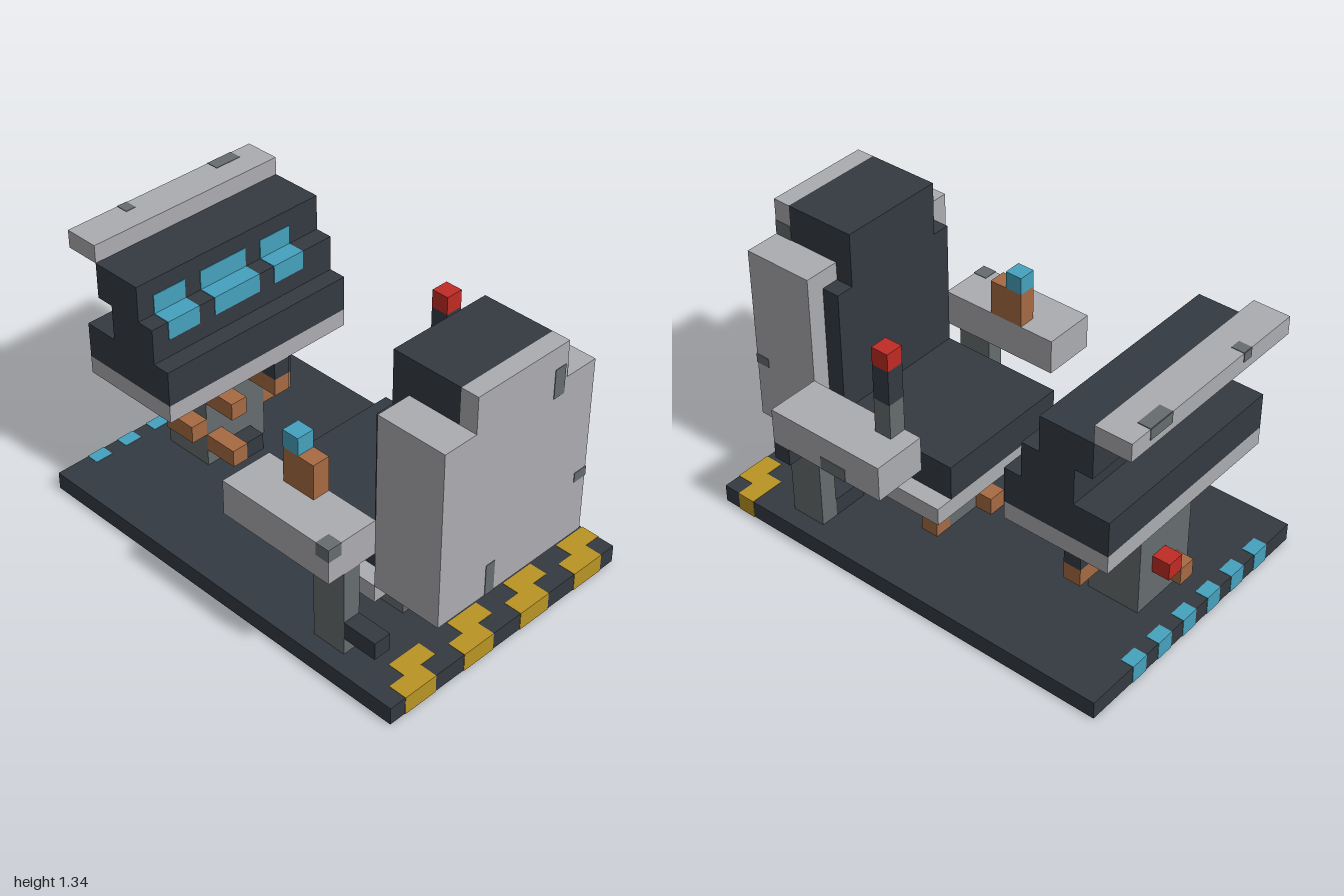
import * as THREE from 'three';

const U = 1 / 12; // one block
const mat = (name, color) => {
  const m = new THREE.MeshStandardMaterial({ color });
  m.name = name;
  return m;
};

export function createModel() {
  const root = new THREE.Group();
  root.name = 'controlStation';
  const light = mat('lightGrey', 0xabacb1), mid = mat('midGrey', 0x666c6e), dark = mat('darkSlate', 0x343a41);
  const yellow = mat('hazardYellow', 0xba9523), copper = mat('copper', 0xa76a43);
  const cyan = mat('screenCyan', 0x45a2be), red = mat('signalRed', 0xc02b24);

  const group = (name) => {
    const g = new THREE.Group();
    g.name = name;
    root.add(g);
    return g;
  };
  // Box from block ranges, optionally grown a little on every side
  const box = (g, name, m, x0, x1, y0, y1, z0, z1, grow = 0) => {
    const mesh = new THREE.Mesh(
      new THREE.BoxGeometry((x1 - x0) * U + grow * 2, (y1 - y0) * U + grow * 2, (z1 - z0) * U + grow * 2), m);
    mesh.position.set((x0 + x1) / 2 * U, (y0 + y1) / 2 * U, (z0 + z1) / 2 * U);
    mesh.name = name;
    g.add(mesh);
  };
  const E = 0.002;

  // Floor plate with stepped hazard stripes and rear lights
  const base = group('base');
  box(base, 'floorPlate', dark, -8, 8, 0, 1, -12, 12);
  for (const x of [-7, -3, 1, 5]) {
    box(base, 'hazardStripe', yellow, x, x + 2, 0, 1, 11, 12, E);
    box(base, 'hazardStripeStep', yellow, x + 1, x + 3, 0, 1, 10, 11, E);
  }
  for (const x of [-6, -4, -2, 0, 2, 4]) box(base, 'rearLight', cyan, x, x + 1, 0, 1, -12, -11.3, E);

  // Seat
  const seat = group('seat');
  box(seat, 'pedestal', mid, -3, 3, 1, 3, 1, 8);
  box(seat, 'seatFrame', light, -5, 5, 3, 4, 0, 8);
  box(seat, 'cushion', dark, -4, 4, 4, 6, 0, 8);
  box(seat, 'backShell', light, -5, 5, 4, 14, 8, 12);
  box(seat, 'headShell', light, -3, 3, 14, 16, 11, 12);
  box(seat, 'backPad', dark, -4, 4, 6, 13, 7, 8);
  box(seat, 'headPad', dark, -3, 3, 13, 14, 7, 8);
  box(seat, 'headRest', dark, -3, 3, 14, 16, 7, 11);

  // Armrests on posts
  for (const s of [-1, 1]) {
    const arm = group(s < 0 ? 'rightArmrest' : 'leftArmrest');
    const a = s < 0 ? -8 : 5;
    box(arm, 'armPad', light, a, a + 3, 6, 8, 1, 8);
    box(arm, 'armPost', mid, s < 0 ? -7 : 6, s < 0 ? -6 : 7, 1, 6, 6, 8);
  }

  // Levers
  const levers = group('levers');
  box(levers, 'leverShaft', mid, 5, 6, 8, 10, 2, 3);
  box(levers, 'leverGrip', dark, 5, 6, 10, 12, 2, 3);
  box(levers, 'leverKnob', red, 5, 6, 12, 13, 2, 3);
  box(levers, 'throttle', copper, -6, -5, 8, 10, 3, 5);
  box(levers, 'throttleButton', cyan, -6, -5, 10, 11, 3, 4);

  // Console with stepped profile
  const con = group('console');
  box(con, 'consolePost', mid, -2, 2, 1, 7, -10, -7);
  box(con, 'consoleTray', light, -6, 6, 7, 8, -11, -5);
  box(con, 'consoleDesk', dark, -6, 6, 8, 10, -11, -5);
  box(con, 'consoleMiddle', dark, -6, 6, 10, 12, -9, -6);
  box(con, 'consoleTop', dark, -6, 6, 12, 14, -10, -7);
  box(con, 'consoleHood', light, -6, 6, 14, 15, -12, -10);
  for (const [a, b] of [[-5, -3], [-2, 1], [2, 4]]) {
    box(con, 'screenUpper', cyan, a, b, 12, 13.1, -7.02, -6.96);
    box(con, 'screenLedge', cyan, a, b, 11.98, 12.04, -7, -5.96);
    box(con, 'screenLower', cyan, a, b, 11, 12.04, -6.02, -5.96);
  }

  // Loose pipes and cable blocks
  const pipes = group('pipes');
  [
    [copper, -3, -2, 2, 3, 8, 10], [dark, -2, -1, 2, 3, 8, 10], [dark, 0, 1, 2, 3, 8, 10],
    [dark, -7, -6, 2, 3, 8, 10], [dark, 4, 6, 1, 2, 6, 8], [copper, 5, 6, 3, 4, 7, 8],
    [dark, 7, 8, 5, 6, 7, 8], [copper, 3, 4, 1, 2, 1, 2], [copper, 0, 1, 1, 2, 0, 1],
    [dark, -2, 0, 1, 2, 0, 1], [dark, -1, 1, 1, 2, -7, -6], [copper, -2, -1, 2, 3, -7, -5],
    [copper, 1, 2, 5, 6, -7, -5], [copper, -2, -1, 5, 6, -7, -5], [dark, 1, 2, 6, 7, -7, -5],
    [copper, 2, 4, 3, 4, -8, -7], [dark, 2, 4, 4, 5, -8, -7], [dark, 2, 3, 6, 7, -8, -7],
    [copper, -3, -2, 3, 4, -9, -7], [red, 0, 1, 3, 4, -11, -10], [copper, -1, 0, 2, 3, -11, -10],
  ].forEach(([m, ...r]) => box(pipes, 'pipeBlock', m, ...r));

  // Worn patches, thin plates on the light panels
  const wear = group('wornPatches');
  [
    [2.15, 2.85, 13.2, 14.8, 11.97, 12.03], [4.2, 5.03, 7.25, 7.8, 11.97, 12.03],
    [-1.85, -1.25, 4, 5.8, 11.97, 12.03], [4.97, 5.03, 7.25, 7.8, 11.2, 12.03],
    [4.97, 5.03, 5.3, 6.9, 8, 8.9], [2.97, 3.03, 14, 14.8, 11, 12],
    [-8.03, -7.2, 7.3, 8, 7.97, 8.03], [-8.03, -7.2, 7.97, 8.03, 7.2, 8.03],
    [-8.03, -7.97, 7.3, 8, 7.2, 8.03],
    [5, 6.8, 6.5, 7, 7.97, 8.03], [6.2, 6.8, 6, 6.5, 7.97, 8.03],
    [7.97, 8.03, 6, 6.75, 3.2, 4.8],
    [-2.9, -2.3, 14.97, 15.03, -12, -11.3], [3.1, 4.7, 14.97, 15.03, -12, -11.3],
    [-2.9, -2.3, 14.5, 15, -12.03, -11.97], [3.1, 4.7, 14.4, 15, -12.03, -11.97],
  ].forEach((r) => box(wear, 'wornPatch', mid, ...r));

  return root;
}
